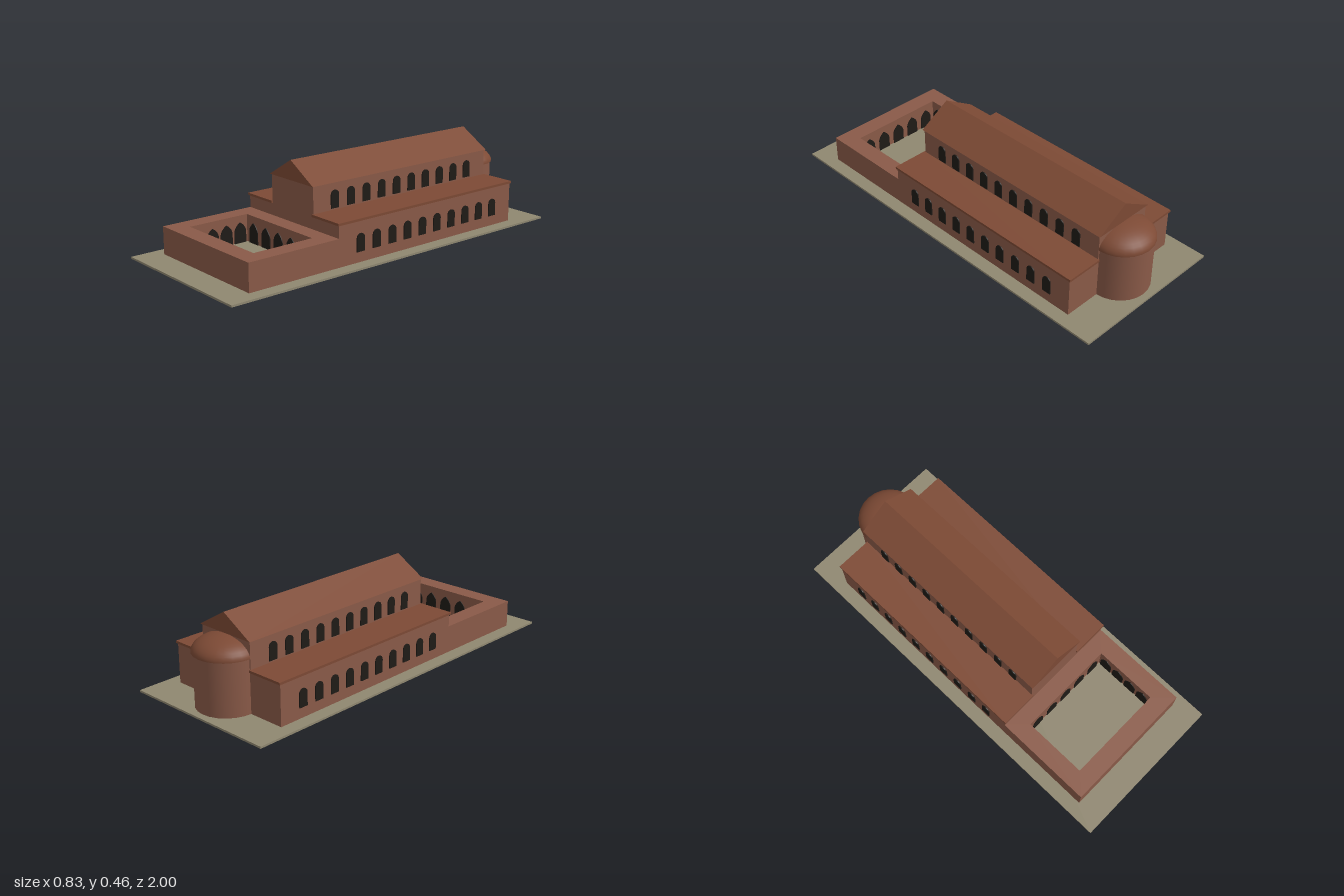
import * as THREE from 'three';

const mat = (color) => new THREE.MeshStandardMaterial({ color });

export function createModel() {
  const model = new THREE.Group();
  const wall = mat(0x8a5a48), roof = mat(0x7d4a35), paving = mat(0x8f8770), dark = mat(0x1f1b17);

  const add = (name, geometry, material, parent = model) => {
    const mesh = new THREE.Mesh(geometry, material);
    mesh.name = name;
    parent.add(mesh);
    return mesh;
  };
  // box given by its limits on each axis
  const block = (name, material, [x0, x1], [y0, y1], [z0, z1], parent) => {
    const mesh = add(name, new THREE.BoxGeometry(x1 - x0, y1 - y0, z1 - z0), material, parent);
    mesh.position.set((x0 + x1) / 2, (y0 + y1) / 2, (z0 + z1) / 2);
    return mesh;
  };
  const extrude = (shape, depth) =>
    new THREE.ExtrudeGeometry(shape, { depth, bevelEnabled: false, curveSegments: 8 });

  block('ground', paving, [-0.417, 0.417], [0, 0.01], [-1, 1]);

  // nave with gabled roof
  block('nave', wall, [-0.16, 0.16], [0.01, 0.36], [-0.815, 0.35]);
  const gable = new THREE.Shape([[-0.167, 0.36], [0.167, 0.36], [0, 0.46]].map((p) => new THREE.Vector2(...p)));
  add('naveRoof', extrude(gable, 1.18), roof).position.z = -0.822;

  // round-headed window, base at the origin, centred on its thickness
  const windowShape = new THREE.Shape();
  windowShape.moveTo(-0.024, 0);
  windowShape.lineTo(0.024, 0);
  windowShape.lineTo(0.024, 0.066);
  windowShape.absarc(0, 0.066, 0.024, 0, Math.PI, false);
  windowShape.closePath();
  const windowGeometry = extrude(windowShape, 0.01).translate(0, 0, -0.005);

  // side aisles and the two rows of windows
  for (const side of [1, -1]) {
    const span = (a, b) => (side > 0 ? [a, b] : [-b, -a]);
    block('aisle', wall, span(0.155, 0.348), [0.01, 0.213], [-0.815, 0.35]);
    block('aisleRoof', roof, span(0.157, 0.353), [0.213, 0.225], [-0.822, 0.358]);
    for (const [name, x, y] of [['aisleWindow', 0.348, 0.063], ['clerestoryWindow', 0.16, 0.233]]) {
      for (let i = 0; i < 10; i++) {
        const pane = add(name, windowGeometry, dark);
        pane.position.set(side * x, y, 0.22 - i * 0.1);
        pane.rotation.y = side * Math.PI / 2;
      }
    }
  }

  // apse with a flattened half dome
  add('apse', new THREE.CylinderGeometry(0.155, 0.155, 0.27, 24), wall).position.set(0, 0.145, -0.812);
  const dome = add('apseDome',
    new THREE.SphereGeometry(0.16, 24, 10, 0, Math.PI * 2, 0, Math.PI / 2), roof);
  dome.material = roof.clone();
  dome.material.side = THREE.DoubleSide;
  dome.scale.y = 0.5;
  dome.position.set(0, 0.277, -0.815);

  // atrium: a low ring of covered walks around an open court
  const atrium = new THREE.Group();
  atrium.name = 'atrium';
  model.add(atrium);
  const rect = (S, x, z0, z1) => {
    const s = new S();
    s.moveTo(-x, -z0);
    s.lineTo(x, -z0);
    s.lineTo(x, -z1);
    s.lineTo(-x, -z1);
    s.closePath();
    return s;
  };
  const ring = rect(THREE.Shape, 0.348, 0.86, 0.345);
  ring.holes.push(rect(THREE.Path, 0.257, 0.767, 0.437));
  const walks = add('atriumWalks', extrude(ring, 0.14), wall, atrium);
  walks.rotation.x = -Math.PI / 2;
  walks.position.y = 0.01;

  // pointed arches lining the court
  const archShape = new THREE.Shape();
  archShape.moveTo(-0.034, 0);
  archShape.lineTo(0.034, 0);
  archShape.lineTo(0.034, 0.06);
  archShape.quadraticCurveTo(0.03, 0.085, 0, 0.105);
  archShape.quadraticCurveTo(-0.03, 0.085, -0.034, 0.06);
  archShape.closePath();
  const archGeometry = extrude(archShape, 0.008).translate(0, 0, -0.004);
  const arch = (x, z, turn) => {
    const mesh = add('courtArch', archGeometry, dark, atrium);
    mesh.position.set(x, 0.01, z);
    mesh.rotation.y = turn;
  };
  for (let i = -2; i <= 2; i++) {
    arch(i * 0.1, 0.437, 0);
    arch(i * 0.1, 0.767, Math.PI);
  }
  for (let i = 0; i < 4; i++) {
    const z = 0.602 + (i - 1.5) * 0.081;
    arch(-0.257, z, Math.PI / 2);
    arch(0.257, z, -Math.PI / 2);
  }

  return model;
}
